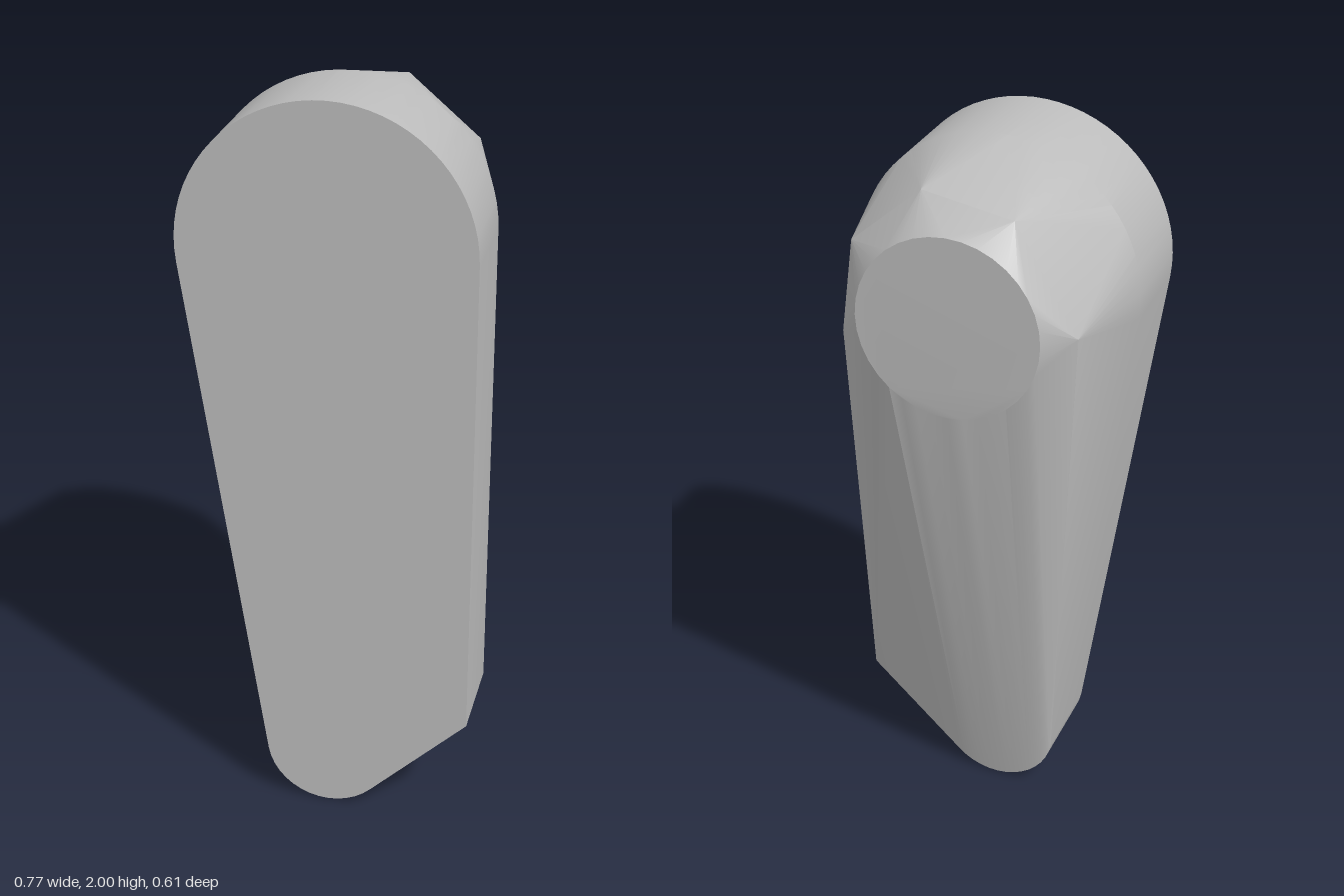
import * as THREE from 'three';
import { ConvexGeometry } from 'three/addons/geometries/ConvexGeometry.js';
import { toCreasedNormals } from 'three/addons/utils/BufferGeometryUtils.js';

const HEAD_Y = 1.617; // centre of the round head

// Points on an arc in a plane facing z
function arc(cy, r, start, end, steps, z) {
  return Array.from({ length: steps + 1 }, (_, i) => {
    const a = start + ((end - start) * i) / steps;
    return new THREE.Vector3(r * Math.cos(a), cy + r * Math.sin(a), z);
  });
}

// Teardrop outline: round head, tapering side, small round toe, clipped corner
function outline(z) {
  const lean = 0.148;
  return [
    ...arc(HEAD_Y, 0.383, 0, Math.PI + lean, 36, z),
    ...arc(0.17, 0.17, Math.PI + lean, Math.PI * 1.75, 14, z),
    new THREE.Vector3(0.383, 0.3, z),
  ];
}

export function createModel() {
  const group = new THREE.Group();
  group.name = 'taperedBlock';
  const grey = new THREE.MeshStandardMaterial({ color: 0xbcbcbc });
  grey.name = 'grey';

  // Coarse shoulder between the head and the flat back disc
  const shoulder = [
    [0.31, 1.53, -0.235], [0.29, 1.77, -0.21], [0.1, 1.932, -0.21],
    [-0.15, 1.9, -0.235], [-0.315, 1.62, -0.235],
  ].map((p) => new THREE.Vector3(...p));

  // Body: straight front slab, sloping back to the round disc
  const hull = new ConvexGeometry([
    ...outline(0.303),
    ...outline(0.036),
    ...shoulder,
    ...arc(HEAD_Y, 0.243, 0, Math.PI * 2 * (35 / 36), 35, -0.303),
  ]);
  const body = new THREE.Mesh(toCreasedNormals(hull, 0.3), grey);
  body.name = 'body';
  group.add(body);
  return group;
}
